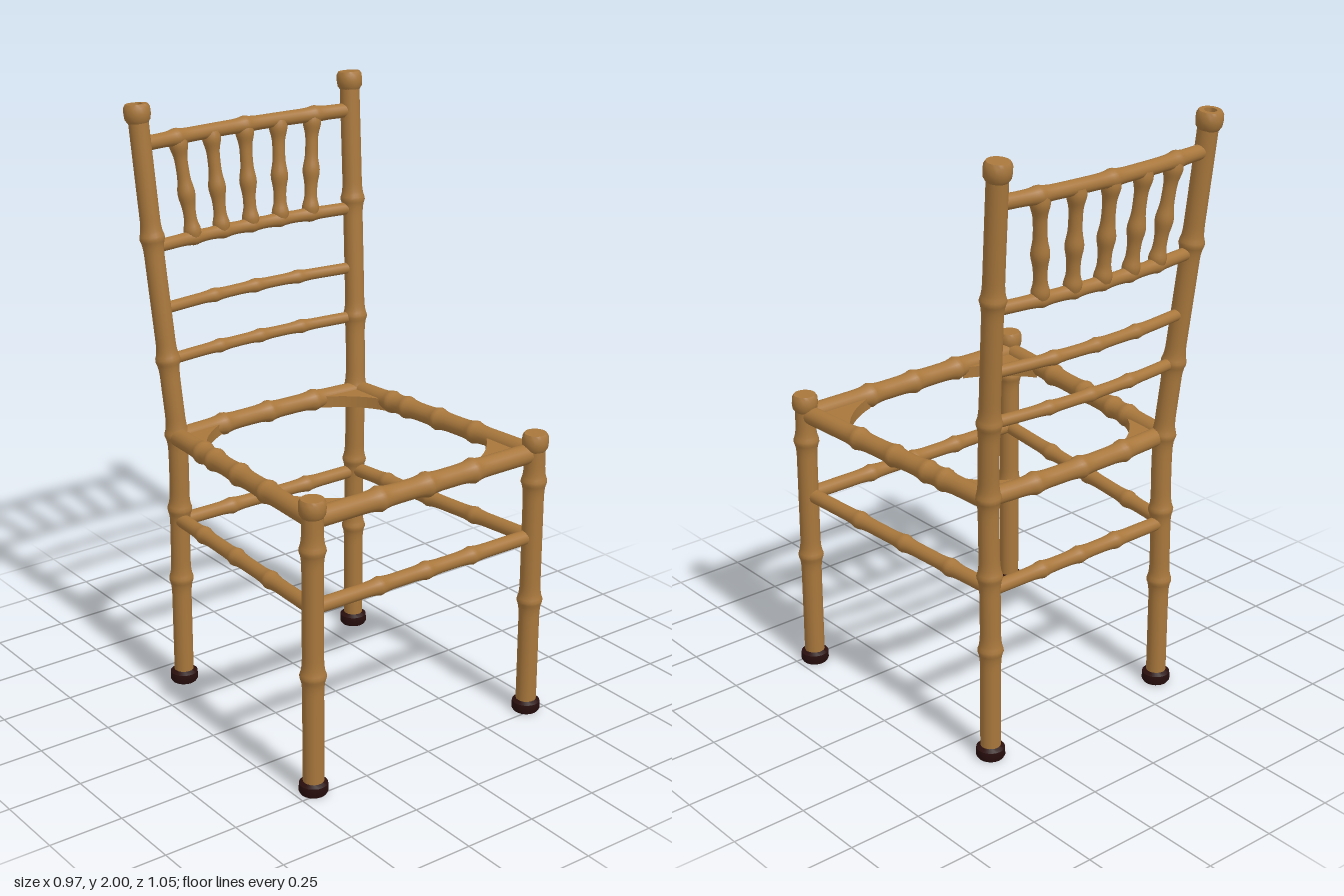
import * as THREE from 'three';
import { mergeVertices, toCreasedNormals } from 'three/addons/utils/BufferGeometryUtils.js';

const V = (x, y, z) => new THREE.Vector3(x, y, z);

export function createModel() {
  const chair = new THREE.Group();
  chair.name = 'bambooChair';
  const wood = new THREE.MeshStandardMaterial({ color: 0xa8773c });
  wood.name = 'bambooWood';
  const rubber = new THREE.MeshStandardMaterial({ color: 0x2a0f0e });
  rubber.name = 'darkRubber';

  const add = (name, geometry, material = wood, x = 0, y = 0, z = 0) => {
    const mesh = new THREE.Mesh(geometry, material);
    mesh.name = name;
    mesh.position.set(x, y, z);
    chair.add(mesh);
    return mesh;
  };

  // Round stalk swept along a curve, its radius given by a rule
  const sweep = (curve, radiusAt, ref) => {
    const rows = Math.max(24, Math.round(curve.getLength() * 110));
    const g = new THREE.CylinderGeometry(1, 1, 1, 18, rows, true);
    g.deleteAttribute('uv');
    g.deleteAttribute('normal');
    const p = g.attributes.position;
    for (let i = 0; i < p.count; i++) {
      const t = THREE.MathUtils.clamp(p.getY(i) + 0.5, 0, 1);
      const r = radiusAt(t);
      const T = curve.getTangentAt(t);
      const A = ref.clone().addScaledVector(T, -ref.dot(T)).normalize();
      const B = A.clone().cross(T);
      const c = curve.getPointAt(t).addScaledVector(A, p.getX(i) * r).addScaledVector(B, p.getZ(i) * r);
      p.setXYZ(i, c.x, c.y, c.z);
    }
    const merged = mergeVertices(g, 1e-5);
    merged.computeVertexNormals();
    return merged;
  };

  // Bamboo: constant radius with swollen nodes at the given fractions
  const bamboo = (name, points, r, nodes, ref = V(0, 1, 0)) => {
    const curve = new THREE.CatmullRomCurve3(points);
    const len = curve.getLength();
    const radiusAt = (t) => nodes.reduce((s, n) => {
      const d = (t - n) * len;
      return s + r * (0.15 * Math.exp(-((d / 0.03) ** 2)) + 0.12 * Math.exp(-((d / 0.011) ** 2)));
    }, r);
    add(name, sweep(curve, radiusAt, ref));
  };

  const lathe = (pairs) => toCreasedNormals(
    new THREE.LatheGeometry(pairs.map(([x, y]) => new THREE.Vector2(x, y)), 24), 0.8);
  const capSide = [[0.033, -0.06], [0.041, -0.048], [0.043, -0.03], [0.042, -0.01], [0.036, 0]];
  const solidCap = lathe([...capSide, [0, 0]]);
  const hollowCap = lathe([...capSide, [0.02, 0], [0.017, -0.03], [0, -0.03]]);
  const footRing = lathe([[0.02, 0.014], [0.022, 0], [0.042, 0], [0.047, 0.008], [0.046, 0.034], [0.033, 0.043]]);
  const footDisc = new THREE.CircleGeometry(0.023, 20).rotateX(Math.PI / 2);

  const foot = (name, x, z) => {
    add(name, footRing, rubber, x, 0, z);
    add(name + 'Core', footDisc, wood, x, 0.012, z);
  };

  // Legs, posts, caps and feet
  for (const [side, s] of [['left', 1], ['right', -1]]) {
    bamboo(side + 'FrontLeg', [V(s * 0.44, 0.01, 0.475), V(s * 0.44, 0.98, 0.475)], 0.034, [0.41, 0.845], V(0, 0, 1));
    add(side + 'FrontCap', solidCap, wood, s * 0.44, 0.995, 0.475);
    foot(side + 'FrontFoot', s * 0.44, 0.475);

    bamboo(side + 'BackPost', [
      V(s * 0.365, 0.01, -0.383), V(s * 0.365, 0.5, -0.383), V(s * 0.367, 0.88, -0.378),
      V(s * 0.378, 1.1, -0.394), V(s * 0.4, 1.56, -0.44), V(s * 0.416, 1.985, -0.482),
    ], 0.033, [0.19, 0.32, 0.455, 0.585, 0.79], V(0, 0, 1));
    const cap = add(side + 'BackCap', s > 0 ? solidCap : hollowCap, wood, s * 0.416, 1.998, -0.484);
    cap.rotation.x = -0.1;
    foot(side + 'BackFoot', s * 0.365, -0.383);

    // Side rails, slightly lower at the back
    bamboo(side + 'SeatRail', [V(s * 0.435, 0.925, 0.475), V(s * 0.372, 0.905, -0.38)], 0.031, [0.31, 0.51, 0.69, 0.78]);
    bamboo(side + 'Stretcher', [V(s * 0.435, 0.632, 0.475), V(s * 0.367, 0.605, -0.38)], 0.024, [0.3, 0.55, 0.8]);

    // Corner braces under the seat frame
    const brace = (name, y, cx, cz, ax, az, bx, bz, mx, mz) => {
      const shape = new THREE.Shape();
      shape.moveTo(s * cx, cz);
      shape.lineTo(s * ax, az);
      shape.quadraticCurveTo(s * mx, mz, s * bx, bz);
      shape.closePath();
      const g = new THREE.ExtrudeGeometry(shape, { depth: 0.04, bevelEnabled: false, curveSegments: 12 });
      add(name, g.rotateX(Math.PI / 2), wood, 0, y, 0);
    };
    brace(side + 'FrontBrace', 0.93, 0.43, 0.465, 0.4, 0.28, 0.2, 0.44, 0.33, 0.39);
    brace(side + 'BackBrace', 0.918, 0.375, -0.38, 0.365, -0.2, 0.2, -0.36, 0.325, -0.295);
  }

  // Front rails
  const thirds = [0.285, 0.5, 0.715];
  bamboo('frontSeatRail', [V(-0.43, 0.925, 0.465), V(0.43, 0.925, 0.465)], 0.033, thirds);
  bamboo('frontStretcher', [V(-0.43, 0.635, 0.47), V(0.43, 0.635, 0.47)], 0.024, thirds);

  // Back rails, bowed rearwards
  const bowed = (name, y, halfWidth, z, bow, r, nodes = thirds) => bamboo(name,
    [-1, -0.5, 0, 0.5, 1].map((u) => V(u * halfWidth, y, z - bow * (1 - u * u))), r, nodes);
  bowed('backStretcher', 0.598, 0.365, -0.383, 0, 0.023);
  bowed('backSeatRail', 0.905, 0.37, -0.368, 0.015, 0.03, [0.25, 0.5, 0.75]);
  bowed('lowerBackRail', 1.165, 0.383, -0.4, 0.025, 0.019);
  bowed('middleBackRail', 1.335, 0.39, -0.418, 0.03, 0.019);
  bowed('upperBackRail', 1.54, 0.4, -0.438, 0.03, 0.021, [0.21, 0.36, 0.5, 0.64, 0.79]);
  bowed('topBackRail', 1.87, 0.412, -0.47, 0.03, 0.024, [0.17, 0.5, 0.83]);

  // Turned spindles fanning out towards the top
  const spindleRadius = (t) => 0.021
    + 0.008 * Math.exp(-(((t - 0.08) / 0.07) ** 2))
    + 0.008 * Math.exp(-(((t - 0.45) / 0.1) ** 2))
    + 0.01 * Math.exp(-(((t - 0.93) / 0.09) ** 2));
  for (let i = -2; i <= 2; i++) {
    const bow = 0.03 * (1 - (i * 0.31) ** 2);
    const curve = new THREE.LineCurve3(V(i * 0.117, 1.535, -0.438 - bow), V(i * 0.133, 1.87, -0.47 - bow));
    add('spindle' + (i + 3), sweep(curve, spindleRadius, V(0, 0, 1)));
  }

  return chair;
}
